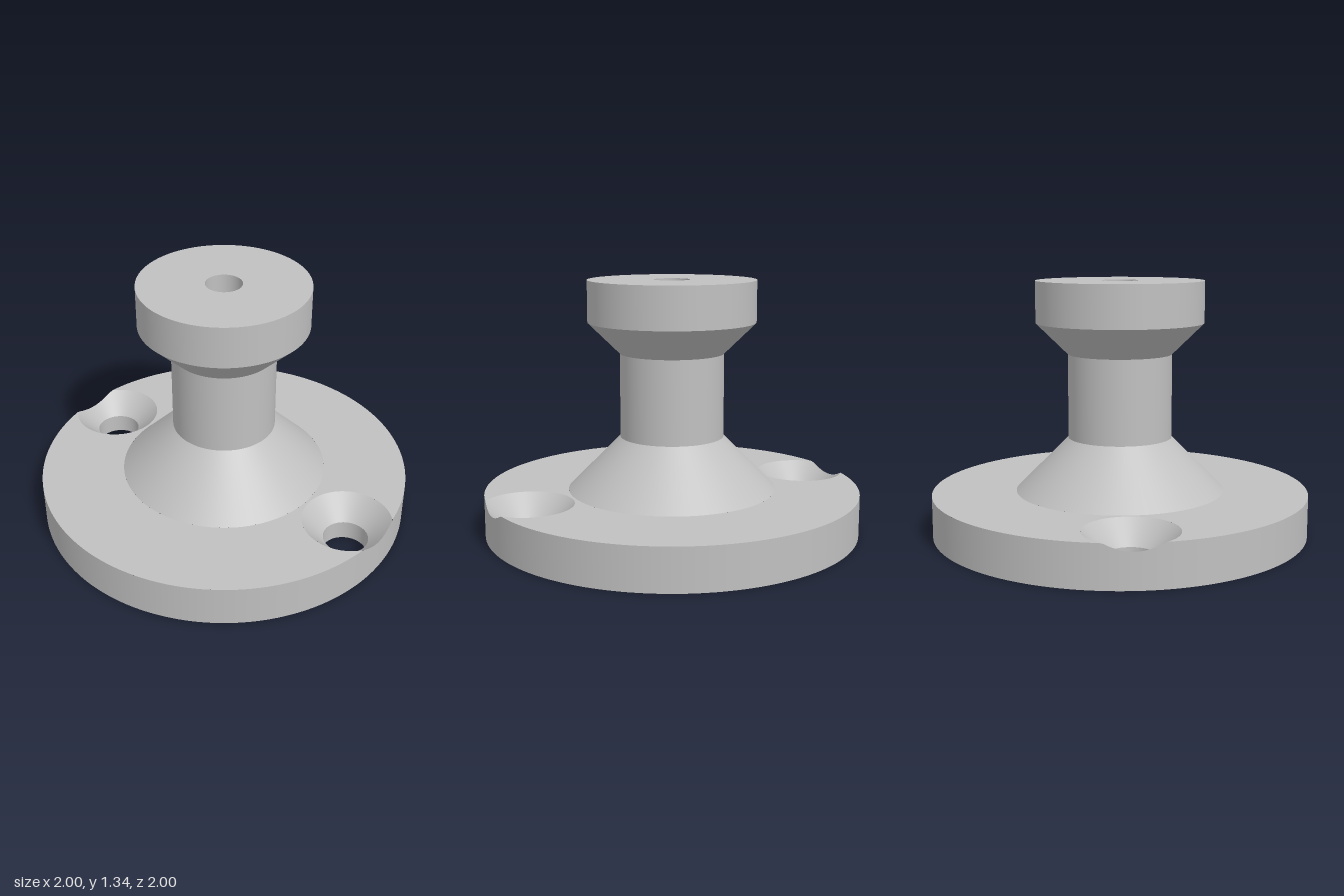
import * as THREE from 'three';

const SEG = 128;
const BASE_TOP = 0.222;
const HOLE = { x: 0.805, r: 0.118, sink: 0.235, y: 0.105 }; // countersunk screw holes

// Closed, smooth band between two loops; faces outward when lower is below upper.
function band(lower, upper) {
  const n = lower.length, pos = [], index = [];
  for (let i = 0; i < n; i++) {
    pos.push(...lower[i], ...upper[i]);
    const a = 2 * i, b = a + 1, c = 2 * ((i + 1) % n), d = c + 1;
    index.push(a, c, d, a, d, b);
  }
  const g = new THREE.BufferGeometry();
  g.setAttribute('position', new THREE.Float32BufferAttribute(pos, 3));
  g.setIndex(index);
  g.computeVertexNormals();
  return g;
}

function circlePath(x, r) {
  return new THREE.Path().absarc(x, 0, r, 0, Math.PI * 2, true);
}

export function createModel() {
  const model = new THREE.Group();
  model.name = 'mountingKnob';
  const grey = new THREE.MeshStandardMaterial({ color: 0xc0c0c0 });
  grey.name = 'grey';

  const add = (name, geometry, parent = model) => {
    const mesh = new THREE.Mesh(geometry, grey);
    mesh.name = name;
    parent.add(mesh);
    return mesh;
  };

  // Turned parts: one lathe per straight run keeps the edges sharp
  const turned = (runs) => {
    for (const [name, r0, y0, r1, y1] of runs) {
      add(name, new THREE.LatheGeometry([new THREE.Vector2(r0, y0), new THREE.Vector2(r1, y1)], SEG));
    }
  };
  turned([
    ['flaredFoot', 0.555, BASE_TOP, 0.275, 0.505],
    ['stem', 0.275, 0.505, 0.275, 0.95],
    ['headUnderside', 0.275, 0.95, 0.443, 1.115],
    ['headRim', 0.443, 1.115, 0.443, 1.335],
    ['headTop', 0.443, 1.335, 0.095, 1.335],
    ['bore', 0.095, 1.335, 0.095, 0.9],
    ['boreShoulder', 0.095, 0.9, 0.18, 0.9],
    ['counterbore', 0.18, 0.9, 0.18, 0],
  ]);

  // Base top: a disc bitten by the countersinks where they break the rim
  const cx = (1 + HOLE.x ** 2 - HOLE.sink ** 2) / (2 * HOLE.x);
  const cz = Math.sqrt(1 - cx * cx);
  const rimAngle = Math.atan2(cz, cx);
  const biteAngle = Math.atan2(cz, cx - HOLE.x);
  const top = new THREE.Shape();
  top.absarc(0, 0, 1, rimAngle, Math.PI - rimAngle, false);
  top.absarc(-HOLE.x, 0, HOLE.sink, Math.PI - biteAngle, biteAngle - Math.PI, true);
  top.absarc(0, 0, 1, Math.PI + rimAngle, 2 * Math.PI - rimAngle, false);
  top.absarc(HOLE.x, 0, HOLE.sink, -biteAngle, biteAngle, true);
  top.holes.push(circlePath(0, 0.555));
  add('baseTop', new THREE.ShapeGeometry(top, 80).rotateX(-Math.PI / 2)).position.y = BASE_TOP;

  // Base underside
  const bottom = new THREE.Shape().absarc(0, 0, 1, 0, Math.PI * 2, false);
  bottom.holes.push(circlePath(0, 0.18), circlePath(HOLE.x, HOLE.r), circlePath(-HOLE.x, HOLE.r));
  add('baseUnderside', new THREE.ShapeGeometry(bottom, 80).rotateX(Math.PI / 2));

  // Base rim, dipping where a countersink cuts through it
  const low = [], high = [], n = 360;
  for (let i = 0; i < n; i++) {
    const a = (i / n) * Math.PI * 2, x = Math.cos(a), z = -Math.sin(a);
    const reach = Math.hypot(Math.abs(x) - HOLE.x, z);
    low.push([x, 0, z]);
    high.push([x, Math.min(BASE_TOP, HOLE.y + reach - HOLE.r), z]);
  }
  const rim = band(low, high);
  // Pure radial normals keep the wall shading even
  const p = rim.attributes.position;
  for (let i = 0; i < p.count; i++) rim.attributes.normal.setXYZ(i, p.getX(i), 0, p.getZ(i));
  add('baseRim', rim);

  // Countersunk screw holes, left and right
  for (const side of [1, -1]) {
    const hole = new THREE.Group();
    hole.name = side > 0 ? 'leftScrewHole' : 'rightScrewHole';
    hole.position.x = side * HOLE.x;
    if (side < 0) hole.rotation.y = Math.PI;
    const floor = [], throat = [], edge = [];
    for (let i = 0; i < SEG; i++) {
      const a = (i / SEG) * Math.PI * 2, c = Math.cos(a), s = -Math.sin(a);
      // Distance from the hole axis to the rim of the base
      const toRim = -HOLE.x * c + Math.sqrt(1 - (HOLE.x * s) ** 2);
      const r = Math.min(HOLE.sink, toRim);
      floor.push([HOLE.r * c, 0, HOLE.r * s]);
      throat.push([HOLE.r * c, HOLE.y, HOLE.r * s]);
      edge.push([r * c, HOLE.y + r - HOLE.r, r * s]);
    }
    add('countersink', band(edge, throat), hole);
    add('throughHole', band(throat, floor), hole);
    model.add(hole);
  }

  return model;
}
